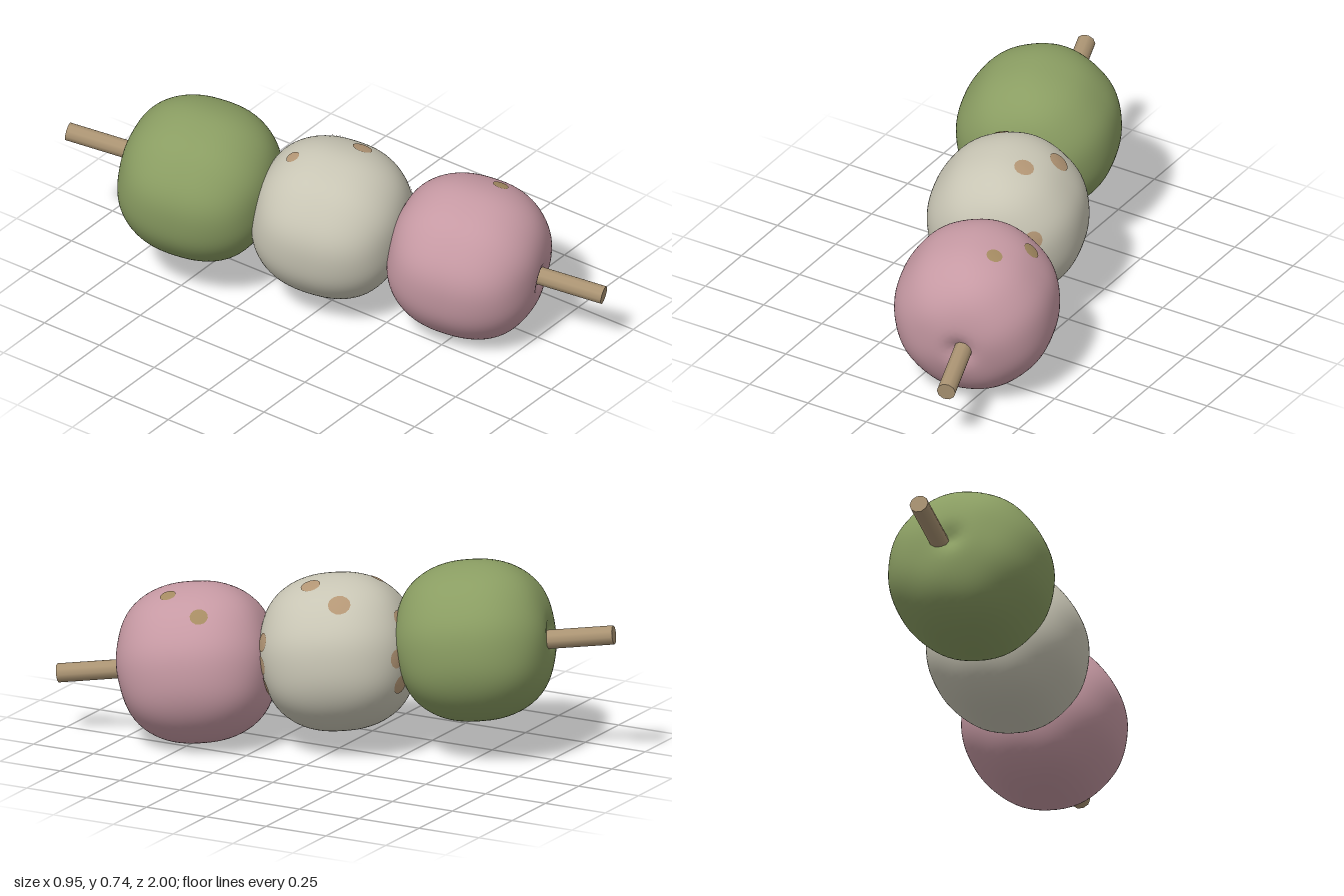
import * as THREE from 'three';
import { mergeVertices } from 'three/addons/utils/BufferGeometryUtils.js';

const mat = (name, color) => new THREE.MeshStandardMaterial({ name, color });

// Direction of the skewer, and the turn that lays +y along it
const axis = new THREE.Vector3(0.298, -0.129, 0.946).normalize();
const turn = new THREE.Quaternion().setFromUnitVectors(new THREE.Vector3(0, 1, 0), axis);

// Distance from a dumpling's centre to its skin: a squarish round with dimpled ends
function skin(d, size) {
  const p = 2.4, rho = Math.hypot(d.x, d.z);
  const r = Math.pow(Math.pow(rho / 0.298, p) + Math.pow(Math.abs(d.y) / 0.29, p), -1 / p);
  const dimple = 0.035 * Math.exp(-Math.pow(rho / 0.16, 2));
  const lumps = 0.002 * Math.sin(7 * d.x + 2) * Math.sin(8 * d.z + 1);
  return size * (r - dimple + lumps);
}

function dumplingGeometry(size) {
  let g = new THREE.IcosahedronGeometry(1, 14);
  g.deleteAttribute('normal');
  g.deleteAttribute('uv');
  g = mergeVertices(g);
  const pos = g.attributes.position, d = new THREE.Vector3();
  for (let i = 0; i < pos.count; i++) {
    d.fromBufferAttribute(pos, i).normalize();
    d.multiplyScalar(skin(d, size));
    pos.setXYZ(i, d.x, d.y, d.z);
  }
  g.computeVertexNormals();
  return g;
}

// Thin round patch draped over the skin, placed by an offset from the centre
function spotGeometry(offset, radius, size) {
  const n = new THREE.Vector3(...offset).normalize().applyQuaternion(turn.clone().invert());
  const q = new THREE.Quaternion().setFromUnitVectors(new THREE.Vector3(0, 0, 1), n);
  const g = new THREE.RingGeometry(0.0001, radius / 0.3, 14, 3);
  const pos = g.attributes.position, d = new THREE.Vector3();
  for (let i = 0; i < pos.count; i++) {
    d.set(pos.getX(i), pos.getY(i), 1).normalize().applyQuaternion(q);
    d.multiplyScalar(skin(d, size) + 0.003);
    pos.setXYZ(i, d.x, d.y, d.z);
  }
  g.computeVertexNormals();
  return g;
}

export function createModel() {
  const model = new THREE.Group();
  model.name = 'skeweredDumplings';

  const pink = mat('pink dough', 0xc699a3);
  const cream = mat('cream dough', 0xc8c5b4);
  const green = mat('green dough', 0x8a9d62);
  const wood = mat('wood', 0xab9473);
  const brown = mat('toasted brown', 0xb39675);
  const olive = mat('olive fleck', 0xa58b62);

  // Stick
  const stick = new THREE.Mesh(new THREE.CylinderGeometry(0.035, 0.035, 2.09, 10), wood);
  stick.name = 'stick';
  stick.position.set(0.025, 0.366, 0);
  stick.quaternion.copy(turn);
  model.add(stick);

  // Dumplings with their spots: [offset, radius]
  const dumplings = [
    { name: 'pinkDumpling', at: [0.168, 0.3, 0.5], size: 1, skinMat: pink, spotMat: olive,
      spots: [[[0.17, 0.23, -0.1], 0.033], [[0.11, 0.27, 0.06], 0.03]] },
    { name: 'creamDumpling', at: [-0.005, 0.367, 0.005], size: 0.98, skinMat: cream, spotMat: brown,
      spots: [
        [[0.16, 0.23, -0.09], 0.042], [[0.105, 0.27, 0.06], 0.038], [[-0.095, 0.27, -0.11], 0.026],
        // toasted patches beside the neighbouring dumplings
        [[0.21, 0.06, 0.18], 0.035], [[0.215, -0.02, 0.18], 0.035], [[0.2, -0.1, 0.18], 0.035],
        [[0.07, 0.03, -0.25], 0.035], [[0.05, -0.06, -0.25], 0.035], [[0, 0.15, -0.24], 0.035],
      ] },
    { name: 'greenDumpling', at: [-0.17, 0.437, -0.475], size: 1, skinMat: green, spotMat: brown, spots: [] },
  ];
  for (const { name, at, size, skinMat, spotMat, spots } of dumplings) {
    const group = new THREE.Group();
    group.name = name;
    group.position.set(...at);
    group.quaternion.copy(turn);
    const body = new THREE.Mesh(dumplingGeometry(size), skinMat);
    body.name = 'dough';
    group.add(body);
    for (const [offset, radius] of spots) {
      const spot = new THREE.Mesh(spotGeometry(offset, radius, size), spotMat);
      spot.name = 'spot';
      group.add(spot);
    }
    model.add(group);
  }
  return model;
}
